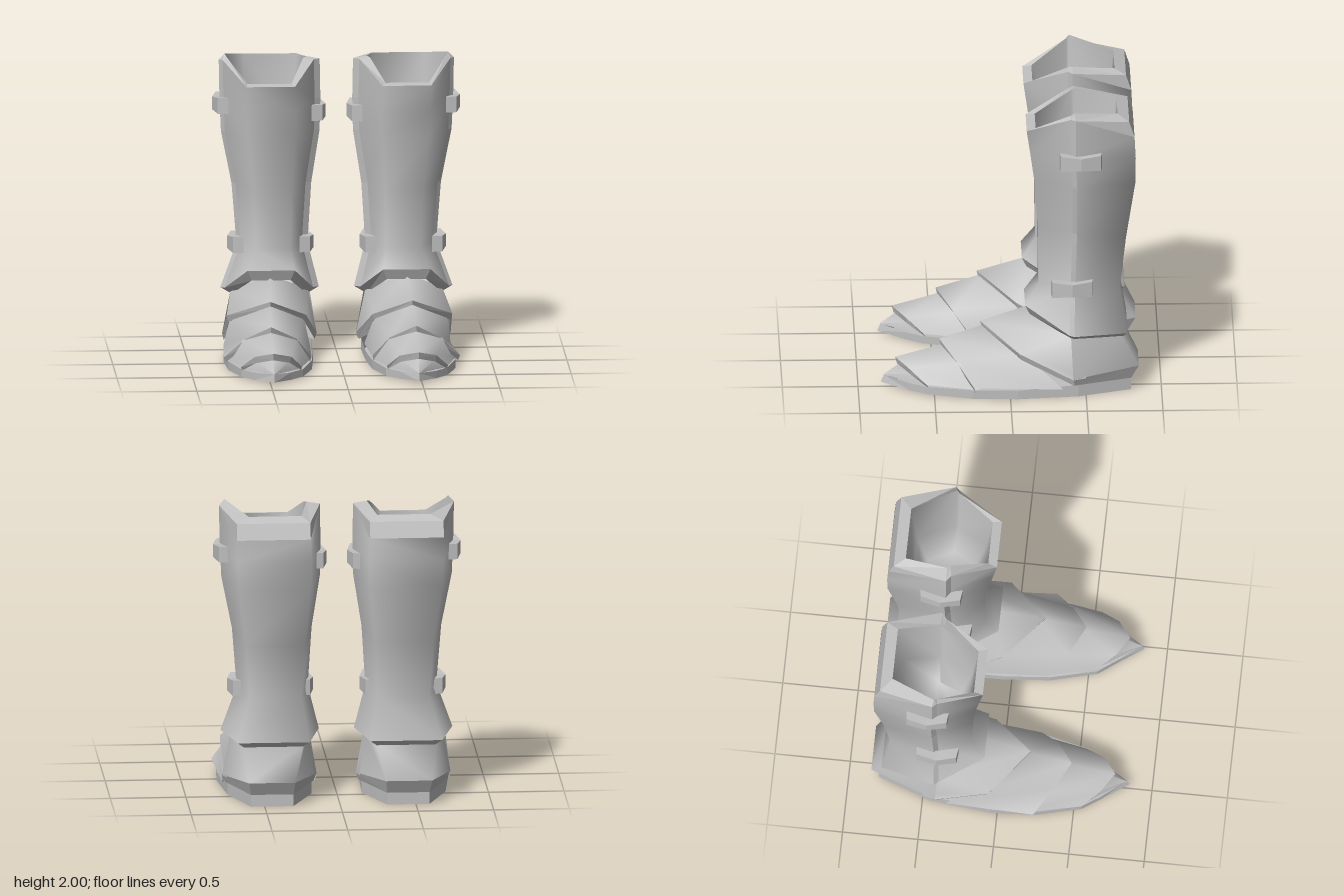
import * as THREE from 'three';

const steel = new THREE.MeshStandardMaterial({ color: 0xc0c0c0, side: THREE.DoubleSide });
steel.name = 'plain grey';

// Skin between rings of [x, y, z] points; side = -1 mirrors the part in x.
function loft(name, rings, side, { closed = false, flat = false, cap = false } = {}) {
  const n = rings[0].length, index = [];
  const points = rings.flat();
  for (let r = 0; r < rings.length - 1; r++) {
    for (let i = 0; i < (closed ? n : n - 1); i++) {
      const a = r * n + i, b = r * n + (i + 1) % n;
      index.push(a, a + n, b, b, a + n, b + n);
    }
  }
  const last = (rings.length - 1) * n;
  if (cap) for (let i = 1; i < n - 1; i++) index.push(last, last + i + 1, last + i);
  if (side < 0) index.reverse();
  let geo = new THREE.BufferGeometry();
  geo.setAttribute('position', new THREE.Float32BufferAttribute(points.flatMap(([x, y, z]) => [x * side, y, z]), 3));
  geo.setIndex(index);
  if (flat) geo = geo.toNonIndexed();
  geo.computeVertexNormals();
  const mesh = new THREE.Mesh(geo, steel);
  mesh.name = name;
  return mesh;
}

// Five-point arch over the foot: inner side, shoulder, apex, shoulder, outer side.
// Each pair is [innerX, outerX, y, z]; the apex is [x, y, z].
const arch = (apex, sh, sd) => [
  [sd[0], sd[2], sd[3]], [sh[0], sh[2], sh[3]], apex, [sh[1], sh[2], sh[3]], [sd[1], sd[2], sd[3]],
];

// Armour plate: smooth top skin plus a thick front lip.
function plate(name, front, rear, side, drop) {
  const g = new THREE.Group();
  g.name = name;
  const lip = front.map(([x, y, z]) => [0.47 + (x - 0.47) * 0.96, Math.max(y - drop, 0.05), z - 0.012]);
  g.add(loft(name + 'Top', [rear, front].map((r) => r), side));
  g.add(loft(name + 'Lip', [front, lip], side, { flat: true }));
  return g;
}

// Shaft levels: front/side/back heights, inner and outer x, front and back z, seam z
const levels = [
  [1.83, 1.96, 1.81, 0.11, 0.777, -0.11, -0.82, -0.43],
  [1.66, 1.70, 1.66, 0.105, 0.772, -0.135, -0.828, -0.43],
  [1.48, 1.48, 1.48, 0.11, 0.762, -0.16, -0.825, -0.44],
  [1.13, 1.13, 1.08, 0.165, 0.692, -0.185, -0.765, -0.44],
  [0.73, 0.73, 0.72, 0.19, 0.66, -0.19, -0.725, -0.43],
  [0.60, 0.435, 0.425, 0.116, 0.767, -0.10, -0.775, -0.42],
];
const at = (xi, xo, t) => xi + (xo - xi) * t;
const frontHalf = ([yf, ys, , xi, xo, zf, , zs]) => [
  [xi + 0.04, ys, zs + 0.03], [at(xi, xo, 0.27), yf, zf], [at(xi, xo, 0.75), yf, zf], [xo - 0.025, ys, zs + 0.03],
];
const backHalf = ([, ys, yb, xi, xo, , zb, zs]) => [
  [xo, ys, zs], [at(xi, xo, 0.86), yb, zb], [at(xi, xo, 0.13), yb, zb], [xi, ys, zs],
];

function shaft(side) {
  const g = new THREE.Group();
  g.name = 'shaft';
  const fronts = levels.map(frontHalf), backs = levels.map(backHalf);
  g.add(loft('shinShell', fronts, side), loft('calfShell', backs, side));
  // Side steps where the calf shell overlaps the shin shell
  g.add(loft('outerSeam', levels.map((l, i) => [fronts[i][3], backs[i][0]]), side, { flat: true }));
  g.add(loft('innerSeam', levels.map((l, i) => [backs[i][3], fronts[i][0]]), side, { flat: true }));

  // Bevelled rim and hollow inside
  const outer = [...fronts[0], ...backs[0]];
  const bevel = outer.map((p, i) => (i === 5 || i === 6 ? [p[0], 1.915, -0.785] : p));
  const inner = [
    [0.22, 1.97, -0.41], [0.31, 1.84, -0.17], [0.60, 1.84, -0.17], [0.725, 1.98, -0.40],
    [0.74, 2.0, -0.42], [0.60, 1.945, -0.71], [0.25, 1.945, -0.71], [0.20, 1.975, -0.43],
  ];
  const shrink = (k, y) => inner.map(([x, , z]) => [0.44 + (x - 0.44) * k, y, -0.43 + (z + 0.43) * k]);
  g.add(loft('rim', [inner, bevel, outer], side, { closed: true, flat: true }));
  g.add(loft('lining', [shrink(0.6, 1.15), shrink(0.85, 1.45), inner].reverse().map((r) => [...r].reverse()), side, { closed: true, cap: true }));

  // Turned-under edge of the ankle skirt
  const hem = [...fronts[5], ...backs[5]];
  const under = hem.map(([x, y, z]) => [0.44 + (x - 0.44) * 0.82, y - (z > -0.2 ? 0.07 : 0.035), z > -0.2 ? z - 0.03 : z + (z < -0.6 ? 0.03 : 0)]);
  g.add(loft('skirtHem', [hem, under], side, { closed: true, flat: true }));
  return g;
}

// Bowed clasp across a seam; dir is the outward x direction
function strap(name, x, y, z, dir, side) {
  const geo = new THREE.BoxGeometry(0.07, 0.1, 0.28, 1, 1, 2);
  const p = geo.attributes.position;
  for (let i = 0; i < p.count; i++) {
    const mid = Math.abs(p.getZ(i)) < 0.01;
    const out = p.getX(i) * dir > 0;
    p.setX(i, p.getX(i) + dir * (mid ? 0.012 : -0.018));
    p.setY(i, p.getY(i) * (mid ? 0.85 : 1.05) - p.getZ(i) * 0.02);
    if (out) p.setZ(i, p.getZ(i) * 0.94);
  }
  const flat = geo.toNonIndexed();
  flat.computeVertexNormals();
  const mesh = new THREE.Mesh(flat, steel);
  mesh.name = name;
  mesh.position.set(x * side, y, z);
  if (side < 0) mesh.rotation.z = Math.PI;
  return mesh;
}

function foot(side) {
  const g = new THREE.Group();
  g.name = 'foot';

  // Sole: inner and outer outline with a pointed toe
  const outline = [
    [0.478, 0.85], [0.60, 0.67], [0.68, 0.55], [0.75, 0.25], [0.765, -0.05], [0.72, -0.45], [0.59, -0.80],
    [0.31, -0.80], [0.165, -0.45], [0.175, -0.05], [0.20, 0.25], [0.275, 0.56], [0.356, 0.67],
  ].reverse();
  const top = outline.map(([x, z]) => [x, z > 0.8 ? 0.075 : z < -0.3 ? 0.08 : 0.06, z > 0.8 ? 0.83 : z]);
  const bottom = outline.map(([x, z]) => [x, z > 0.8 ? 0.025 : z > 0.4 ? 0.01 : 0, z]);
  g.add(loft('sole', [top.reverse(), bottom.reverse()].map((r) => [...r].reverse()), side, { closed: true, flat: true, cap: true }));

  // Toe point under the first plate
  const tip = Array(5).fill([0.478, 0.075, 0.835]);
  g.add(loft('toePoint', [arch([0.48, 0.16, 0.72], [0.37, 0.59, 0.125, 0.64], [0.28, 0.68, 0.06, 0.53]), tip], side));

  // Overlapping plates, toe to instep
  g.add(plate('toePlate',
    arch([0.48, 0.20, 0.755], [0.36, 0.60, 0.165, 0.67], [0.28, 0.685, 0.075, 0.55]),
    arch([0.48, 0.295, 0.42], [0.30, 0.66, 0.22, 0.33], [0.205, 0.75, 0.06, 0.2]), side, 0.045));
  g.add(plate('middlePlate',
    arch([0.48, 0.325, 0.465], [0.31, 0.64, 0.23, 0.36], [0.20, 0.78, 0.085, 0.24]),
    arch([0.47, 0.425, 0.15], [0.235, 0.72, 0.29, -0.1], [0.18, 0.75, 0.06, -0.35]), side, 0.05));
  g.add(plate('instepPlate',
    arch([0.47, 0.445, 0.195], [0.22, 0.745, 0.31, -0.06], [0.13, 0.755, 0.125, -0.415]),
    arch([0.45, 0.56, -0.17], [0.19, 0.70, 0.42, -0.40], [0.15, 0.73, 0.13, -0.50]), side, 0.045));

  // Heel guard wrapping the back
  const wrap = (xi, xo, y, z, bi, bo, by, bz) => [[xo, y, z], [bo, by, bz], [bi, by, bz], [xi, y, z]];
  const ankle = wrap(0.18, 0.70, 0.42, -0.40, 0.24, 0.64, 0.40, -0.73);
  const bulge = wrap(0.13, 0.755, 0.13, -0.415, 0.30, 0.605, 0.17, -0.85);
  const base = wrap(0.15, 0.735, 0.08, -0.415, 0.31, 0.59, 0.08, -0.80);
  g.add(loft('heelGuard', [ankle, bulge], side), loft('heelBand', [bulge, base], side, { flat: true }));
  return g;
}

function boot(name, side) {
  const g = new THREE.Group();
  g.name = name;
  g.add(shaft(side), foot(side));
  g.add(strap('upperOuterStrap', 0.772, 1.663, -0.465, 1, side));
  g.add(strap('upperInnerStrap', 0.115, 1.61, -0.465, -1, side));
  g.add(strap('lowerOuterStrap', 0.675, 0.74, -0.41, 1, side));
  g.add(strap('lowerInnerStrap', 0.2, 0.74, -0.41, -1, side));
  return g;
}

export function createModel() {
  const model = new THREE.Group();
  model.name = 'armouredBoots';
  model.add(boot('leftBoot', 1), boot('rightBoot', -1));
  return model;
}
